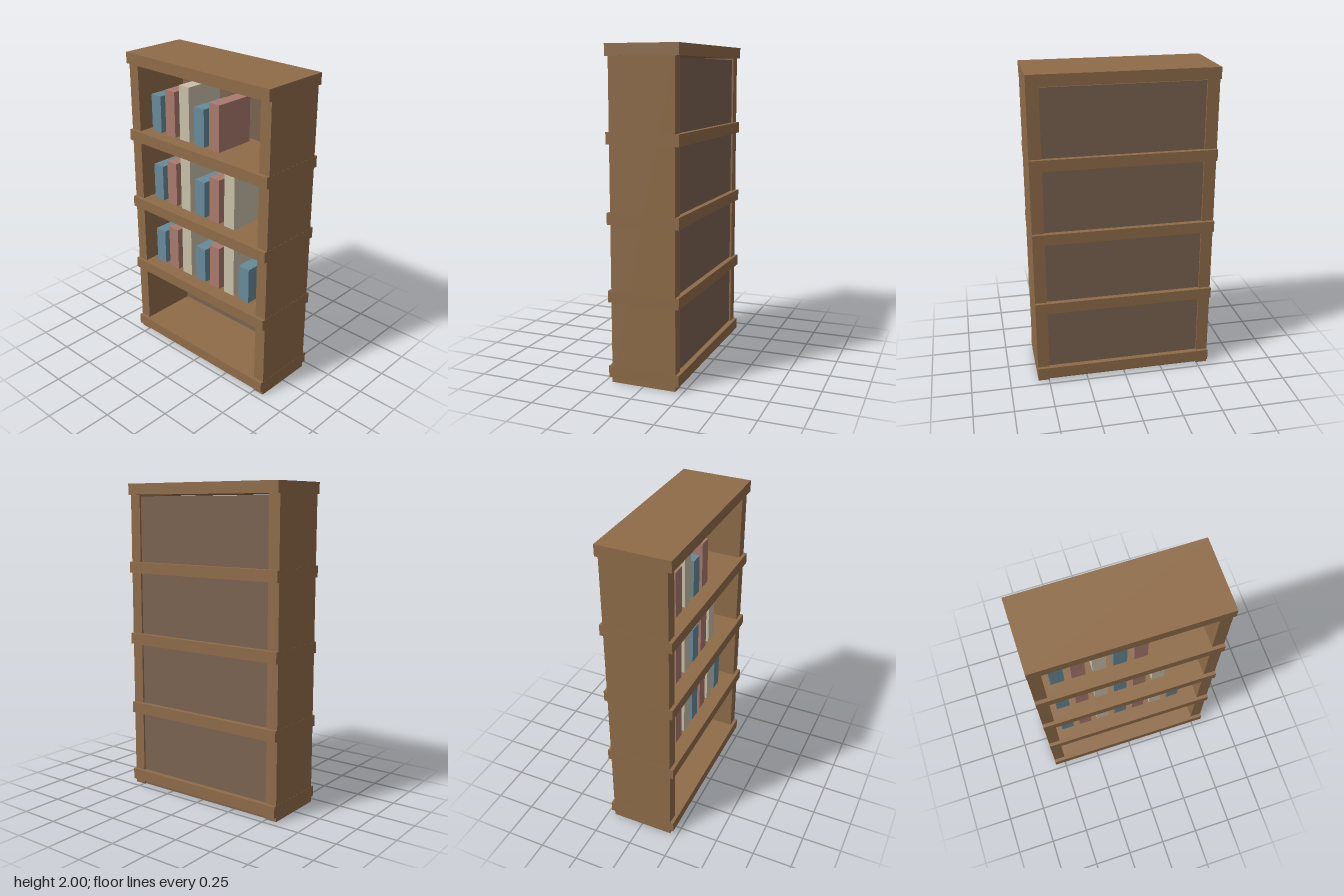
import * as THREE from 'three';

const material = (name, color) => {
  const m = new THREE.MeshStandardMaterial({ color });
  m.name = name;
  return m;
};

export function createModel() {
  const wood = material('wood', 0x8f6c49);
  const backWood = material('backWood', 0x7b6350);
  const covers = [
    material('blueCover', 0x668a99),
    material('redCover', 0xa97a6d),
    material('creamCover', 0xc8c0a8),
  ];

  const model = new THREE.Group();
  model.name = 'bookcase';

  // Box placed by its centre in x and z and by its underside in y
  function box(name, mat, [w, h, d], [x, bottom, z]) {
    const mesh = new THREE.Mesh(new THREE.BoxGeometry(w, h, d), mat);
    mesh.name = name;
    mesh.position.set(x, bottom + h / 2, z);
    model.add(mesh);
  }

  // Side walls, reaching into the top board
  for (const [name, s] of [['leftSide', 1], ['rightSide', -1]]) {
    box(name, wood, [0.075, 1.96, 0.406], [s * 0.5315, 0, 0]);
  }

  // Recessed back panel, stopping just short of the top board
  box('backPanel', backWood, [0.99, 1.92, 0.014], [0, 0, -0.184]);

  // Boards from bottom to top, overhanging the sides at front and back
  const thickness = 0.07;
  const boards = [0.03, 0.497, 0.965, 1.433, 1.93];
  boards.forEach((y, i) => {
    const name = i === boards.length - 1 ? 'topBoard' : `shelf${i + 1}`;
    box(name, wood, [1.14, thickness, 0.45], [0, y, 0]);
  });

  // Rows of books on the upper three shelves, each row one book shorter
  const heights = [0.237, 0.29, 0.344];
  [7, 6, 5].forEach((count, row) => {
    for (let i = 0; i < count; i++) {
      box(`book${row + 1}_${i + 1}`, covers[i % 3], [0.082, heights[i % 3], 0.27],
        [-0.413 + i * 0.1243, boards[row + 1] + thickness, 0]);
    }
  });

  return model;
}
